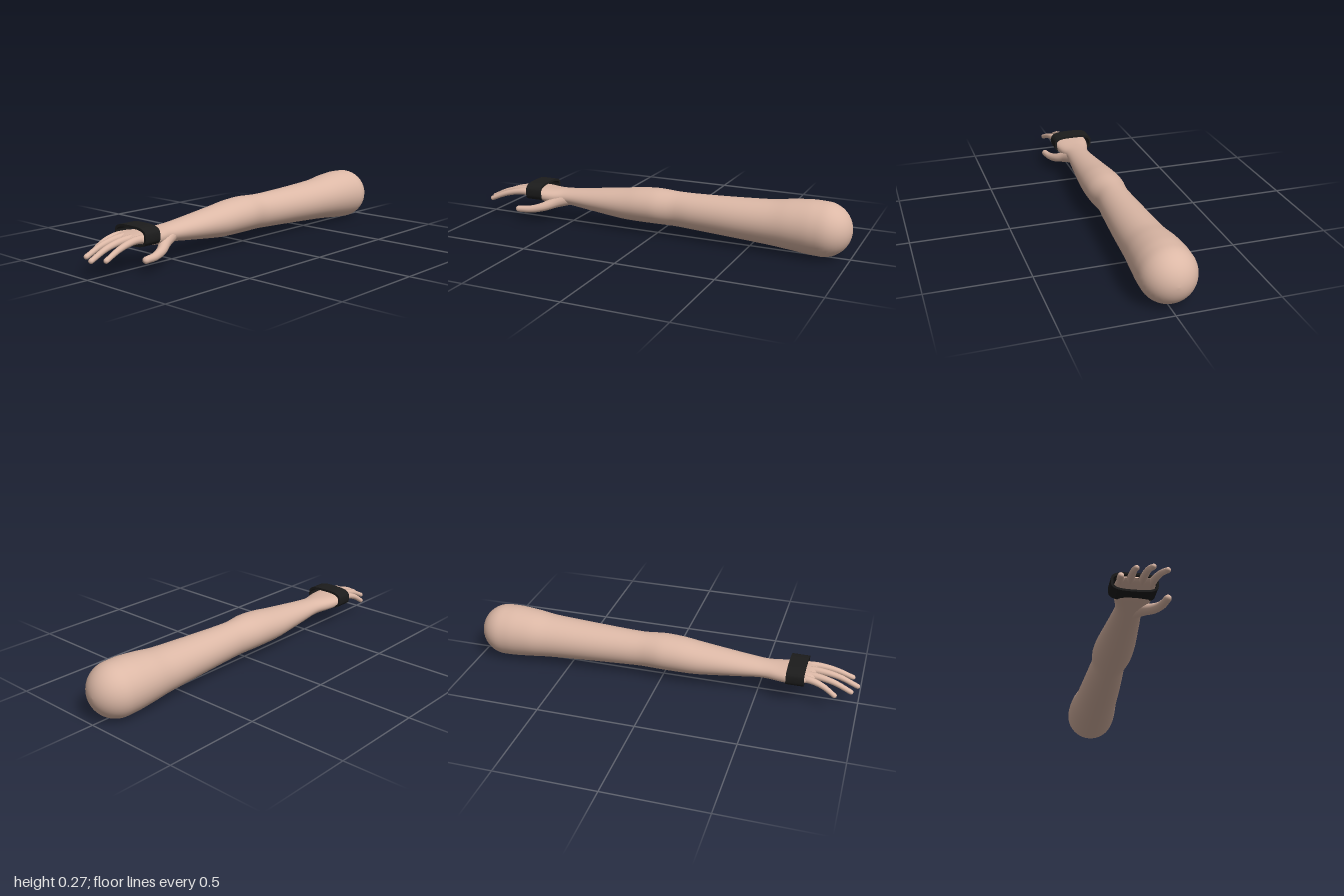
import * as THREE from 'three';
import { toCreasedNormals } from 'three/addons/utils/BufferGeometryUtils.js';

const V = (x, y, z) => new THREE.Vector3(x, y, z);

// Join a list of equally sized closed rings of points into a surface
function skinRings(rings) {
  const n = rings[0].length, idx = [];
  for (let i = 0; i < rings.length - 1; i++) {
    for (let j = 0; j < n; j++) {
      const k = (j + 1) % n;
      const a = i * n + j, b = i * n + k, c = a + n, d = b + n;
      idx.push(a, b, c, b, d, c);
    }
  }
  const g = new THREE.BufferGeometry().setFromPoints(rings.flat());
  g.setIndex(idx);
  g.computeVertexNormals();
  return g;
}

// Superellipse ring across the x axis
function crossRing(x, top, bottom, back, front, power = 2, n = 40) {
  const e = 2 / power, ring = [];
  const pw = (v) => Math.sign(v) * Math.abs(v) ** e;
  for (let j = 0; j < n; j++) {
    const t = (j / n) * Math.PI * 2;
    ring.push(V(x,
      (top + bottom) / 2 + ((top - bottom) / 2) * pw(Math.sin(t)),
      (back + front) / 2 + ((front - back) / 2) * pw(Math.cos(t))));
  }
  return ring;
}

// Arm and palm: x, top, bottom, back, front
const SECTIONS = [
  [0.865, 0.271, 0.003, -0.143, 0.125],
  [0.8, 0.272, 0.006, -0.144, 0.124],
  [0.7, 0.263, 0.016, -0.138, 0.116],
  [0.6, 0.249, 0.025, -0.126, 0.106],
  [0.4, 0.238, 0.037, -0.115, 0.095],
  [0.2, 0.231, 0.047, -0.104, 0.081],
  [0.1, 0.231, 0.051, -0.100, 0.074],
  [0, 0.236, 0.052, -0.111, 0.088],
  [-0.1, 0.230, 0.052, -0.110, 0.088],
  [-0.2, 0.216, 0.055, -0.104, 0.081],
  [-0.4, 0.191, 0.077, -0.085, 0.063],
  [-0.5, 0.180, 0.089, -0.076, 0.054],
  [-0.55, 0.176, 0.092, -0.077, 0.054],
  [-0.6, 0.173, 0.094, -0.088, 0.067],
  [-0.65, 0.172, 0.101, -0.101, 0.076],
  [-0.71, 0.171, 0.115, -0.108, 0.077],
  [-0.75, 0.168, 0.127, -0.102, 0.071],
  [-0.775, 0.160, 0.138, -0.09, 0.06],
  [-0.785, 0.150, 0.149, -0.06, 0.04],
];

function armGeometry() {
  const rings = [];
  // Rounded upper end
  for (let i = 0; i < 12; i++) {
    const a = (1 - i / 12) * Math.PI / 2, r = 0.134 * Math.cos(a) + 1e-4;
    rings.push(crossRing(0.865 + 0.134 * Math.sin(a), 0.137 + r, 0.137 - r, -0.009 - r, -0.009 + r));
  }
  const heights = new THREE.CatmullRomCurve3(SECTIONS.map((s) => V(s[0], s[1], s[2])), false, 'catmullrom', 0.4);
  const widths = new THREE.CatmullRomCurve3(SECTIONS.map((s) => V(s[0], s[3], s[4])), false, 'catmullrom', 0.4);
  const steps = (SECTIONS.length - 1) * 4;
  for (let i = 0; i <= steps; i++) {
    const h = heights.getPoint(i / steps), w = widths.getPoint(i / steps);
    // The palm is boxier than the round arm
    const power = 2 + 0.5 * THREE.MathUtils.smoothstep(-h.x, 0.5, 0.7);
    rings.push(crossRing(h.x, h.y, h.z, w.y, w.z, power));
  }
  return skinRings(rings);
}

// Tapered digit with a rounded tip
function digitGeometry(points, r0, r1, n = 14) {
  const curve = new THREE.CatmullRomCurve3(points.map((p) => V(...p)));
  const steps = 28, length = curve.getLength();
  const frames = curve.computeFrenetFrames(steps);
  const rings = [];
  const addRing = (c, r, f) => {
    const ring = [];
    for (let j = 0; j < n; j++) {
      const t = (j / n) * Math.PI * 2;
      ring.push(c.clone()
        .addScaledVector(frames.normals[f], r * Math.cos(t))
        .addScaledVector(frames.binormals[f], r * Math.sin(t)));
    }
    rings.push(ring);
  };
  for (let i = 0; i <= steps; i++) {
    const u = i / steps;
    const r = r1 + (r0 - r1) * (1 - u) ** 1.4;
    if ((1 - u) * length > r1 * 0.3) addRing(curve.getPointAt(u), r, i);
  }
  const end = curve.getPointAt(1), dir = frames.tangents[steps];
  for (let i = 0; i <= 6; i++) {
    const a = (i / 6) * Math.PI / 2;
    addRing(end.clone().addScaledVector(dir, r1 * Math.sin(a)), r1 * Math.cos(a) + 1e-5, steps);
  }
  return skinRings(rings);
}

export function createModel() {
  const skin = new THREE.MeshStandardMaterial({ color: 0xdcb8a6 });
  skin.name = 'skin';
  const black = new THREE.MeshStandardMaterial({ color: 0x1c1c1c });
  black.name = 'black strap';

  const model = new THREE.Group();
  model.name = 'arm';
  const add = (name, geometry, material) => {
    const mesh = new THREE.Mesh(geometry, material);
    mesh.name = name;
    model.add(mesh);
  };

  add('armAndPalm', armGeometry(), skin);

  // Fingers: base z, tip x, tip y, tip z
  const fingers = {
    littleFinger: [-0.078, -0.888, 0.092, -0.103],
    ringFinger: [-0.04, -0.962, 0.093, -0.050],
    middleFinger: [0.008, -0.988, 0.090, 0.016],
    indexFinger: [0.048, -0.958, 0.097, 0.083],
  };
  for (const [name, [z, tx, ty, tz]] of Object.entries(fingers)) {
    const at = (u, y) => [-0.7 + (tx + 0.7) * u, y, z + (tz - z) * u];
    add(name, digitGeometry([at(0, 0.147), at(0.35, 0.148), at(0.68, 0.130), at(1, ty)], 0.021, 0.0125), skin);
  }

  // Thumb, thick where it leaves the wrist
  add('thumb', digitGeometry([
    [-0.52, 0.128, 0.015], [-0.58, 0.108, 0.045], [-0.64, 0.085, 0.085],
    [-0.70, 0.072, 0.108], [-0.766, 0.070, 0.122],
  ], 0.036, 0.017), skin);

  // Strap around the palm
  const outer = (x) => crossRing(x, 0.203, 0.108, -0.125, 0.09, 3.2, 48);
  const inner = (x) => crossRing(x, 0.191, 0.118, -0.114, 0.079, 3.2, 48);
  const strap = skinRings([outer(-0.65), outer(-0.738), inner(-0.738), inner(-0.65), outer(-0.65)]);
  add('handStrap', toCreasedNormals(strap, 0.7), black);

  return model;
}
